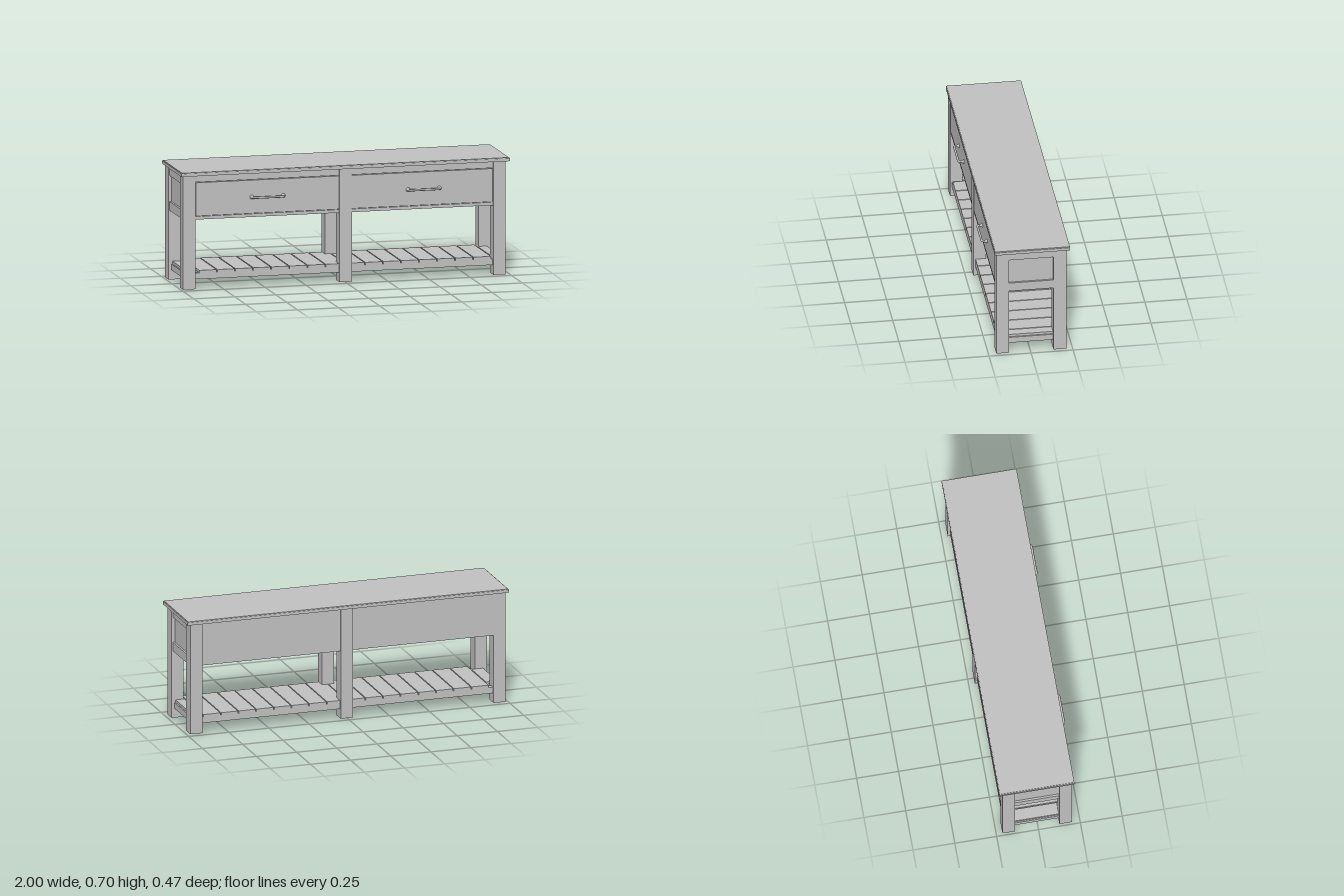
import * as THREE from 'three';

export function createModel() {
  const model = new THREE.Group();
  model.name = 'consoleTable';
  const paint = new THREE.MeshStandardMaterial({ color: 0xc0c0c0 });
  paint.name = 'greyPaint';

  const add = (name, geometry) => {
    const mesh = new THREE.Mesh(geometry, paint);
    mesh.name = name;
    model.add(mesh);
    return mesh;
  };
  // Box given by its low and high limits on each axis
  const box = (name, x0, x1, y0, y1, z0, z1) =>
    add(name, new THREE.BoxGeometry(x1 - x0, y1 - y0, z1 - z0))
      .position.set((x0 + x1) / 2, (y0 + y1) / 2, (z0 + z1) / 2);

  // Table top with a small stepped edge
  box('topSlab', -1, 1, 0.678, 0.696, -0.233, 0.215);
  box('topSurface', -0.995, 0.995, 0.696, 0.7, -0.229, 0.211);

  // Six square legs
  const legX = [-0.949, 0.003, 0.939], half = 0.0375;
  for (const x of legX) {
    box('frontLeg', x - half, x + half, 0, 0.678, 0.127, 0.203);
    box('backLeg', x - half, x + half, 0, 0.678, -0.213, -0.137);
  }

  // Two bays: drawer, rails, back panel and shelf rails between the legs
  for (let i = 0; i < 2; i++) {
    const x0 = legX[i] + half, x1 = legX[i + 1] - half;
    box('upperRail', x0, x1, 0.639, 0.678, 0.165, 0.196);
    box('lowerRail', x0, x1, 0.415, 0.434, 0.165, 0.196);
    box('drawerFront', x0 + 0.003, x1 - 0.003, 0.437, 0.636, 0.17, 0.199);
    box('drawerBacking', x0, x1, 0.434, 0.639, 0.155, 0.17);
    box('backPanel', x0, x1, 0.415, 0.678, -0.205, -0.185);
    box('frontShelfRail', x0, x1, 0.057, 0.094, 0.155, 0.19);
    box('backShelfRail', x0, x1, 0.057, 0.094, -0.2, -0.165);
  }
  box('cabinetBottom', -0.94, 0.93, 0.415, 0.428, -0.19, 0.17);

  // Framed ends and lower side rails
  for (const [x, side] of [[legX[0], -1], [legX[2], 1]]) {
    const rail = (name, y0, y1, reach) => {
      const a = x - side * 0.02, b = x + side * reach;
      box(name, Math.min(a, b), Math.max(a, b), y0, y1, -0.137, 0.127);
    };
    rail('endUpperRail', 0.622, 0.678, 0.03);
    rail('endPanel', 0.467, 0.622, 0.018);
    rail('endLowerRail', 0.413, 0.467, 0.03);
    rail('endShelfRail', 0.057, 0.093, 0.02);
  }

  // Slatted shelf
  const gap = 0.006;
  const edges = [0.003];
  for (let k = 0; k < 8; k++) edges.push(0.123 + k * 0.11, -0.117 - k * 0.11);
  edges.push(-0.965, 0.955);
  edges.sort((a, b) => a - b);
  for (let i = 0; i < edges.length - 1; i++) {
    const outer = i === 0 || i === edges.length - 2;
    box('shelfSlat', edges[i] + gap / 2, edges[i + 1] - gap / 2, 0.094, 0.109,
      outer ? -0.137 : -0.2, outer ? 0.127 : 0.19);
  }

  // Bow handles with flared feet
  const footProfile = [[0.013, 0], [0.013, 0.003], [0.008, 0.008], [0.006, 0.018]]
    .map(([r, h]) => new THREE.Vector2(r, h));
  for (const x of [-0.472, 0.478]) {
    const path = new THREE.CatmullRomCurve3([
      [-0.095, 0.208], [-0.095, 0.22], [-0.086, 0.2285], [-0.04, 0.2295],
      [0.04, 0.2295], [0.086, 0.2285], [0.095, 0.22], [0.095, 0.208],
    ].map(([px, pz]) => new THREE.Vector3(x + px, 0.535, pz)));
    add('handleBar', new THREE.TubeGeometry(path, 48, 0.0065, 10));
    for (const s of [-1, 1]) {
      const foot = add('handleFoot', new THREE.LatheGeometry(footProfile, 16));
      foot.rotation.x = Math.PI / 2;
      foot.position.set(x + s * 0.095, 0.535, 0.199);
    }
  }
  return model;
}
